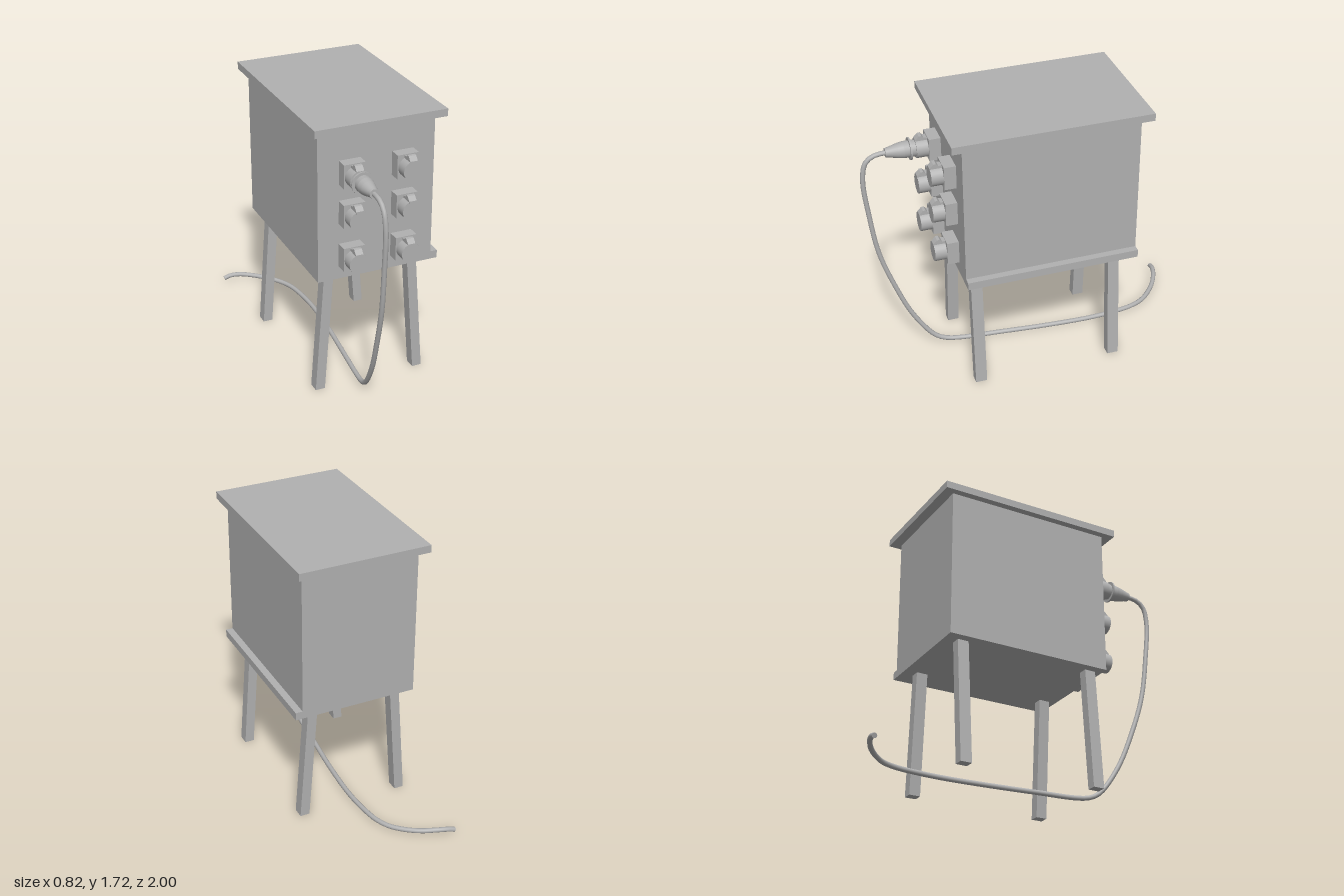
import * as THREE from 'three';

const grey = new THREE.MeshStandardMaterial({ color: 0xb0b0b0 });
grey.name = 'plain grey';

function part(name, geometry, parent) {
  const mesh = new THREE.Mesh(geometry, grey);
  mesh.name = name;
  parent.add(mesh);
  return mesh;
}

// Box given by its lower and upper corners
function block(name, [x0, y0, z0], [x1, y1, z1], parent) {
  const g = new THREE.BoxGeometry(x1 - x0, y1 - y0, z1 - z0);
  g.translate((x0 + x1) / 2, (y0 + y1) / 2, (z0 + z1) / 2);
  return part(name, g, parent);
}

// Leg with vertical ends, splayed outward in x towards the floor
function leg(side, z, parent) {
  const g = new THREE.BoxGeometry(0.059, 0.757, 0.07);
  const p = g.attributes.position;
  for (let i = 0; i < p.count; i++) {
    const foot = p.getY(i) < 0 ? 0.056 : 0;
    p.setX(i, p.getX(i) + side * (0.265 + foot));
  }
  g.computeVertexNormals();
  g.translate(0, 0.757 / 2, z);
  part('leg', g, parent);
}

// Socket: square housing, round lid and hinge tab; its origin lies on the box front
function socket(x, y, parent) {
  const s = new THREE.Group();
  s.name = 'socket';
  s.position.set(x, y, 0.525);
  block('socketHousing', [-0.065, -0.072, 0], [0.065, 0.072, 0.07], s);
  const lid = new THREE.CylinderGeometry(0.06, 0.06, 0.07, 28);
  lid.rotateX(Math.PI / 2).translate(0, -0.004, 0.105);
  part('socketLid', lid, s);
  // Hinge profile in (z, y), extruded across x
  const profile = new THREE.Shape([
    [0.07, 0.04], [0.141, 0.04], [0.141, 0.056], [0.128, 0.07],
    [0.118, 0.08], [0.103, 0.082], [0.09, 0.068], [0.07, 0.066],
  ].map(([z, h]) => new THREE.Vector2(-z, h)));
  const hinge = new THREE.ExtrudeGeometry(profile, { depth: 0.046, bevelEnabled: false });
  hinge.translate(0, 0, -0.023).rotateY(Math.PI / 2);
  part('socketHinge', hinge, s);
  parent.add(s);
}

// Plug turned about z, as [radius, z] steps
function plug(x, y, parent) {
  const steps = [
    [0, 0.66], [0.05, 0.66], [0.05, 0.692], [0.067, 0.692], [0.067, 0.702],
    [0.05, 0.702], [0.05, 0.735], [0.044, 0.77], [0.03, 0.825],
    [0.027, 0.842], [0, 0.842],
  ];
  // Each step is its own band so that the rims stay sharp
  const g = new THREE.Group();
  g.name = 'plug';
  for (let i = 1; i < steps.length; i++) {
    const band = [steps[i - 1], steps[i]].map(([r, z]) => new THREE.Vector2(r, z));
    part('plugBand', new THREE.LatheGeometry(band, 24).rotateX(Math.PI / 2), g);
  }
  g.position.set(x, y, 0);
  parent.add(g);
}

function cable(parent) {
  const points = [
    [-0.157, 1.417, 0.83], [-0.157, 1.412, 0.9], [-0.157, 1.375, 0.957],
    [-0.155, 1.27, 0.983], [-0.15, 1.0, 0.963], [-0.142, 0.74, 0.925],
    [-0.129, 0.485, 0.845], [-0.111, 0.25, 0.745], [-0.092, 0.075, 0.622],
    [-0.083, 0.037, 0.555], [-0.073, 0.024, 0.47], [-0.045, 0.023, 0.2],
    [-0.015, 0.023, -0.1], [0, 0.023, -0.4], [-0.012, 0.023, -0.59],
    [-0.032, 0.023, -0.7], [-0.07, 0.023, -0.785], [-0.13, 0.027, -0.855],
    [-0.21, 0.034, -0.92], [-0.3, 0.042, -0.965], [-0.365, 0.038, -0.982],
    [-0.405, 0.025, -0.985],
  ].map((p) => new THREE.Vector3(...p));
  const curve = new THREE.CatmullRomCurve3(points, false, 'centripetal');
  part('cable', new THREE.TubeGeometry(curve, 90, 0.015, 10), parent);
  const end = part('cableEnd', new THREE.CircleGeometry(0.015, 10), parent);
  end.position.copy(curve.getPoint(1));
  end.lookAt(curve.getPoint(1).add(curve.getTangent(1)));
}

export function createModel() {
  const model = new THREE.Group();
  model.name = 'powerDistributionBox';

  // Cabinet with overhanging roof and a ledge along its left side
  block('cabinet', [-0.35, 0.757, -0.525], [0.365, 1.675, 0.525], model);
  block('roof', [-0.393, 1.675, -0.588], [0.408, 1.72, 0.592], model);
  block('sideLedge', [0.365, 0.757, -0.525], [0.408, 0.805, 0.525], model);

  for (const side of [-1, 1]) {
    for (const z of [0.445, -0.415]) leg(side, z, model);
  }

  for (const x of [-0.157, 0.167]) {
    for (const y of [1.42, 1.177, 0.908]) socket(x, y, model);
  }

  plug(-0.157, 1.418, model);
  cable(model);
  return model;
}
